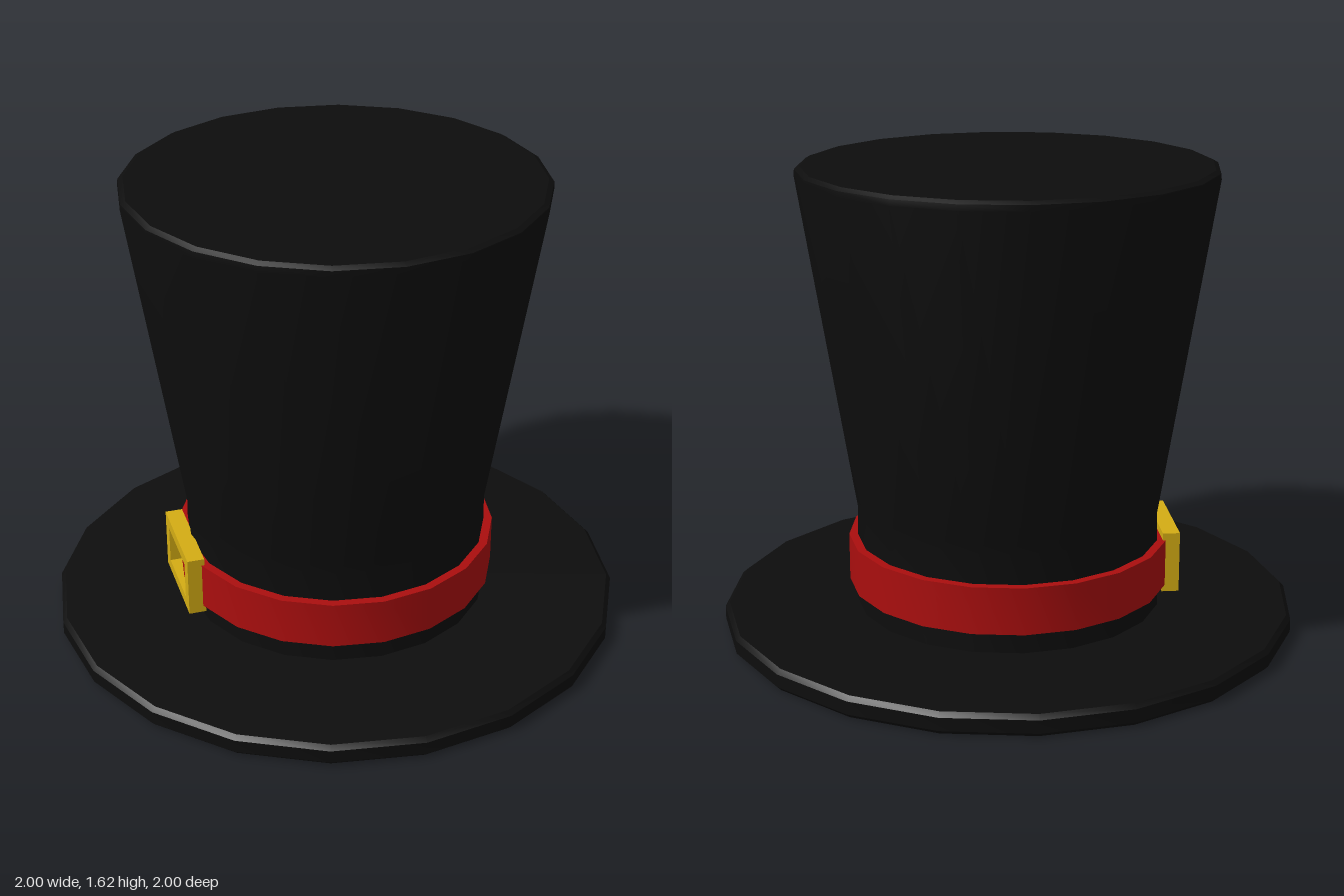
import * as THREE from 'three';
import { toCreasedNormals } from 'three/addons/utils/BufferGeometryUtils.js';

const SIDES = 20;

export function createModel() {
  const hat = new THREE.Group();
  hat.name = 'topHat';

  const felt = new THREE.MeshStandardMaterial({ color: 0x0d0d0d });
  const ribbon = new THREE.MeshStandardMaterial({ color: 0xaa0e0e });
  const gold = new THREE.MeshStandardMaterial({ color: 0xd4ac14 });
  const lining = new THREE.MeshStandardMaterial({ color: 0xcccccc });

  // Turned part: [radius, height] pairs, smooth around and sharp at profile corners
  function turned(name, profile, material) {
    const points = profile.map(([r, y]) => new THREE.Vector2(r, y));
    const geometry = toCreasedNormals(new THREE.LatheGeometry(points, SIDES), 0.5);
    const mesh = new THREE.Mesh(geometry, material);
    mesh.name = name;
    hat.add(mesh);
  }

  // Flat brim with a bevelled rim and an opening for the head
  turned('brim', [
    [0.5, 0], [0.985, 0], [1, 0.015], [1, 0.06], [0.985, 0.075], [0.53, 0.075],
  ], felt);

  // Crown: straight at the base, then flaring up to a flat top
  turned('crown', [
    [0.535, 0.07], [0.528, 0.42], [0.533, 0.45],
    [0.714, 1.585], [0.712, 1.605], [0.695, 1.615], [0, 1.615],
  ], felt);

  // Inside wall and ceiling, facing inward
  turned('lining', [
    [0, 1.57], [0.66, 1.57], [0.495, 0.45], [0.5, 0],
  ], lining);

  // Ribbon around the base of the crown
  turned('hatBand', [
    [0.52, 0.15], [0.56, 0.15], [0.56, 0.315], [0.52, 0.315],
  ], ribbon);

  // Rectangular buckle frame on the right side of the band
  const rectangle = (path, w, h) => path
    .moveTo(-w / 2, -h / 2).lineTo(w / 2, -h / 2)
    .lineTo(w / 2, h / 2).lineTo(-w / 2, h / 2).closePath();
  const frame = rectangle(new THREE.Shape(), 0.34, 0.215);
  frame.holes.push(rectangle(new THREE.Path(), 0.24, 0.135));
  const buckle = new THREE.Mesh(
    new THREE.ExtrudeGeometry(frame, { depth: 0.06, bevelEnabled: false }), gold);
  buckle.name = 'buckle';
  buckle.rotation.y = -Math.PI / 2;
  buckle.position.set(-0.523, 0.232, 0);
  hat.add(buckle);

  return hat;
}
